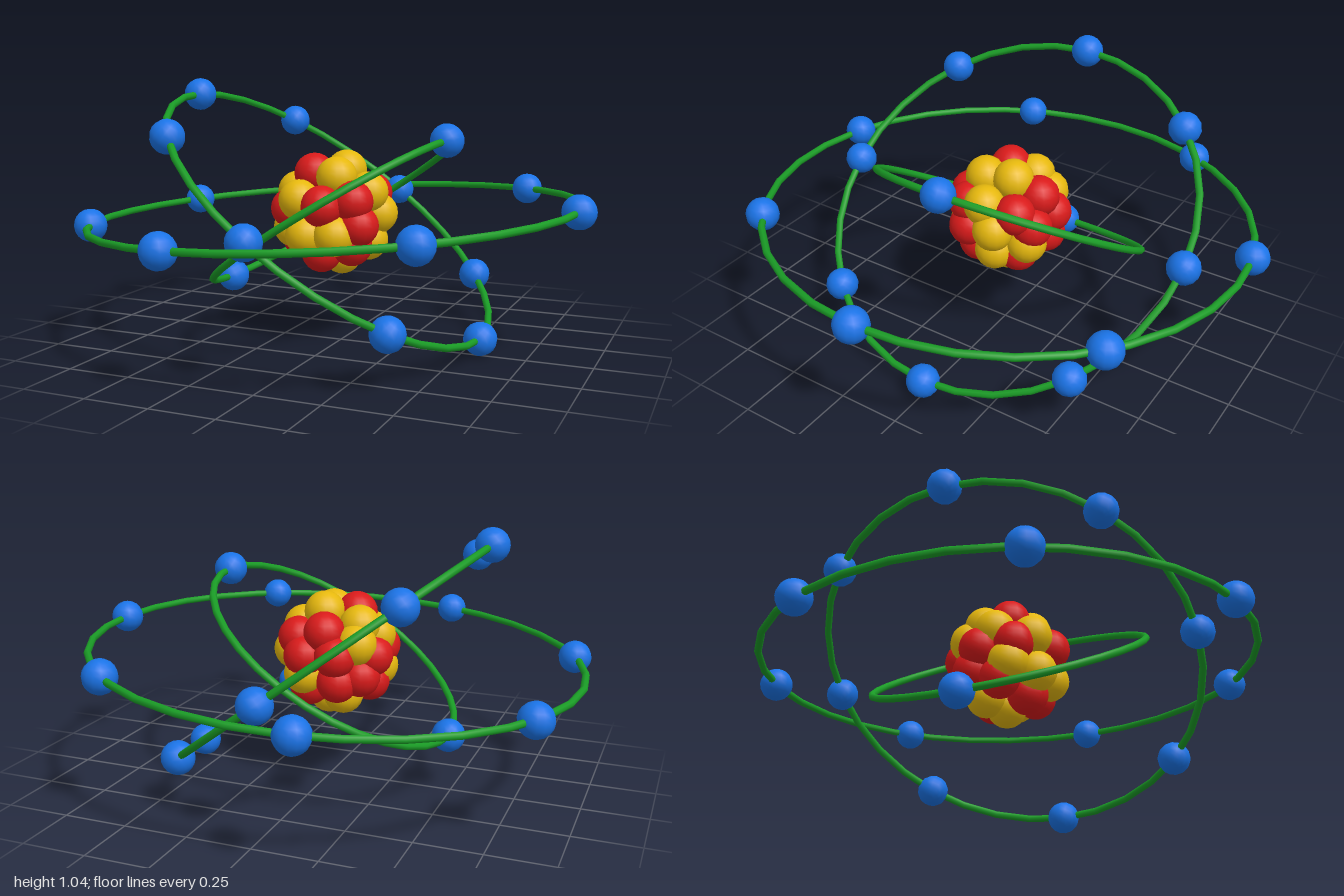
import * as THREE from 'three';

const material = (name, color) => {
  const m = new THREE.MeshStandardMaterial({ color });
  m.name = name;
  return m;
};

export function createModel() {
  const blue = material('blue', 0x1a73e6);
  const green = material('green', 0x1a9c26);
  const red = material('red', 0xd91a1a);
  const yellow = material('yellow', 0xe6b80d);

  const model = new THREE.Group();
  model.name = 'atom';
  model.position.set(-0.027, 0.517, 0);

  // Orbits: radius, tilt about z in degrees, evenly spaced electrons
  const electronGeo = new THREE.SphereGeometry(0.065, 14, 10);
  const orbits = [
    ['innerOrbit', 0.545, 32.7, 2],
    ['middleOrbit', 0.752, -37, 8],
    ['outerOrbit', 0.957, 3.2, 7],
  ];
  for (const [name, radius, tilt, count] of orbits) {
    const orbit = new THREE.Group();
    orbit.name = name;
    orbit.rotation.z = THREE.MathUtils.degToRad(tilt);
    const ring = new THREE.Mesh(new THREE.TorusGeometry(radius, 0.014, 8, 32), green);
    ring.name = 'orbitRing';
    ring.rotation.x = Math.PI / 2;
    orbit.add(ring);
    for (let i = 0; i < count; i++) {
      const a = (i / count) * Math.PI * 2;
      const electron = new THREE.Mesh(electronGeo, blue);
      electron.name = 'electron';
      electron.position.set(radius * Math.cos(a), 0, radius * Math.sin(a));
      orbit.add(electron);
    }
    model.add(orbit);
  }

  // Nucleus: balls packed over a sphere, listed by direction
  const protons = [
    [-0.4, 0.88, 0.2], [0, 0.6, -0.8], [0.7, 0.4, -0.6], [-0.9, 0.1, 0.5],
    [0.1, 0.25, 0.97], [0.7, 0.35, 0.62], [0.8, -0.2, 0.55], [-0.1, -0.85, 0.5],
    [0.6, -0.68, 0.42], [-0.75, -0.65, 0.1], [-0.95, 0.05, -0.3], [0.45, 0.05, -0.9],
    [0.45, -0.7, -0.55], [-0.3, 0.1, -0.95], [-0.3, -0.5, -0.8], [-0.75, -0.4, -0.55],
  ];
  const neutrons = [
    [0.2, 0.95, -0.25], [0.25, 0.85, 0.45], [-0.65, 0.7, -0.3], [0.98, 0, -0.2],
    [-0.55, 0.35, 0.8], [0.85, 0.5, 0.1], [-0.35, -0.45, 0.8], [0.35, -0.42, 0.85],
    [0.15, -0.98, -0.1], [-0.85, -0.35, 0.35], [-0.9, 0.45, 0.05], [0.5, -0.4, -0.8],
    [-0.7, 0.35, -0.65], [-0.3, -0.85, -0.4], [0.75, -0.6, -0.12],
  ];
  const nucleus = new THREE.Group();
  nucleus.name = 'nucleus';
  const ballGeo = new THREE.SphereGeometry(0.08, 16, 12);
  const addBalls = (name, directions, mat) => {
    for (const d of directions) {
      const ball = new THREE.Mesh(ballGeo, mat);
      ball.name = name;
      ball.position.set(...d).setLength(0.172);
      nucleus.add(ball);
    }
  };
  addBalls('proton', protons, red);
  addBalls('neutron', neutrons, yellow);
  model.add(nucleus);

  const root = new THREE.Group();
  root.name = 'atomModel';
  root.add(model);
  return root;
}
